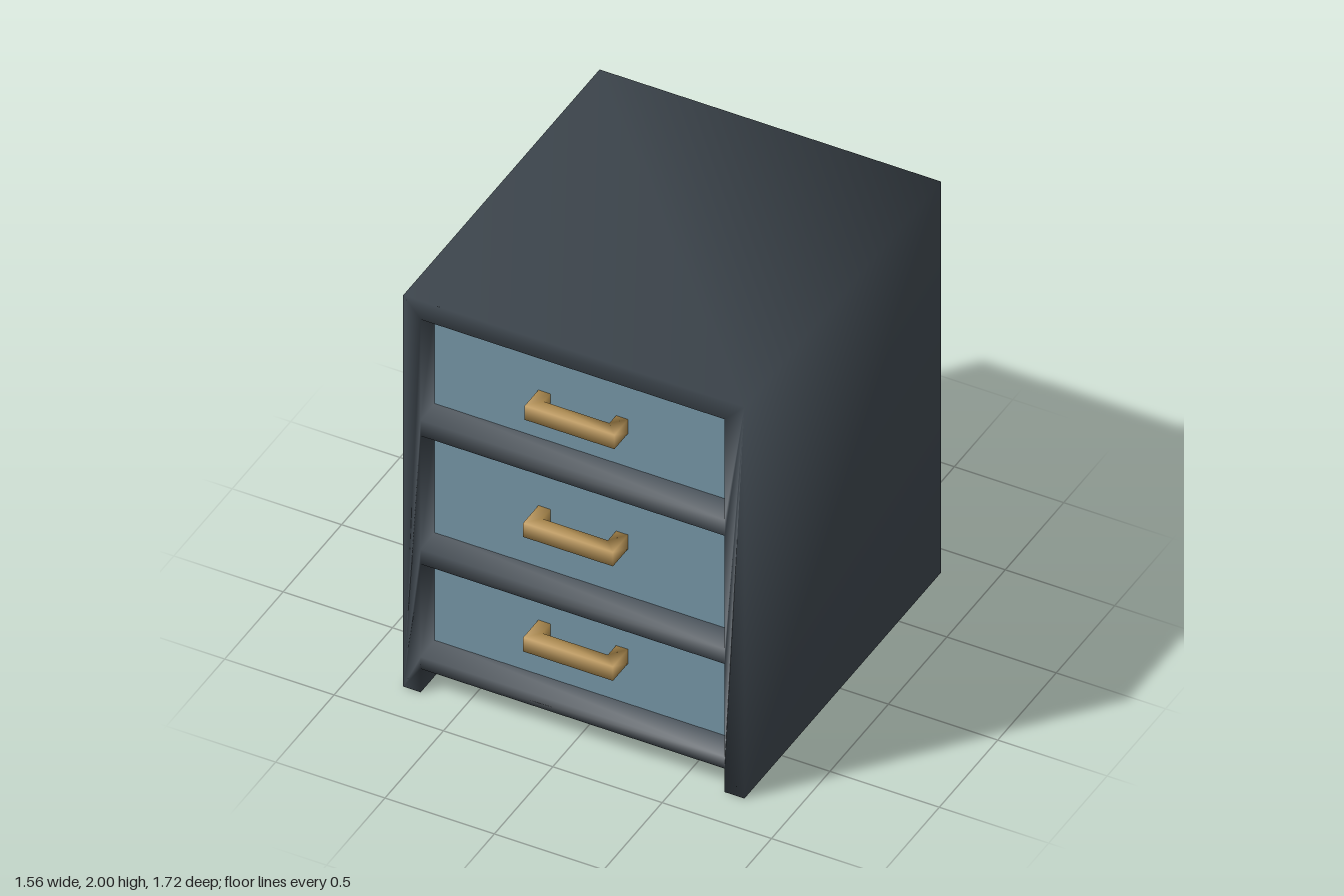
import * as THREE from 'three';
import { mergeGeometries, mergeVertices } from 'three/addons/utils/BufferGeometryUtils.js';

const FRONT = 0.82, BACK = -0.86, PANEL = 0.73;

// opening: edge of the recess in the frame; panel: drawer face at its bottom
const drawers = [
  { name: 'bottomDrawer', opening: [0.18, 0.655], panel: [0.21, 0.63], handleY: 0.452, handleZ: 0.86 },
  { name: 'middleDrawer', opening: [0.73, 1.31], panel: [0.76, 1.285], handleY: 1.037, handleZ: 0.86 },
  { name: 'topDrawer', opening: [1.39, 1.905], panel: [1.42, 1.89], handleY: 1.627, handleZ: 0.847 },
];

const points = (list) => list.map(([x, y]) => new THREE.Vector2(x, y));

// Clockwise rectangle, so walls built from it face inwards
const rect = (x0, x1, [y0, y1]) => points([[x0, y0], [x0, y1], [x1, y1], [x1, y0]]);

// Band of quads from a front loop to a matching loop further back
function walls(front, zFront, back, zBack) {
  const n = front.length;
  const pos = [], index = [];
  front.forEach((p) => pos.push(p.x, p.y, zFront));
  back.forEach((p) => pos.push(p.x, p.y, zBack));
  for (let i = 0; i < n; i++) {
    const j = (i + 1) % n;
    index.push(i, n + i, n + j, i, n + j, j);
  }
  const g = new THREE.BufferGeometry();
  g.setAttribute('position', new THREE.Float32BufferAttribute(pos, 3));
  g.setIndex(index);
  return g;
}

// Flat face of a shape at depth z
function face(shape, z, flip) {
  const g = new THREE.ShapeGeometry(shape).translate(0, 0, z);
  if (flip) g.setIndex(Array.from(g.index.array).reverse());
  return g;
}

// Share vertices so shading is smooth over the edges
function smooth(g) {
  g.deleteAttribute('uv');
  g.deleteAttribute('normal');
  const out = mergeVertices(g, 1e-4);
  out.computeVertexNormals();
  return out;
}

function bodyGeometry() {
  // Cabinet outline with a runner foot along each side
  const outline = points([[-0.78, 0], [-0.7, 0], [-0.7, 0.12], [0.69, 0.12],
    [0.69, 0], [0.78, 0], [0.78, 2], [-0.78, 2]]);
  const frame = new THREE.Shape(outline);
  const parts = [walls(outline, FRONT, outline, BACK), face(new THREE.Shape(outline), BACK, true)];
  // Tapered drawer recesses
  for (const d of drawers) {
    const hole = rect(-0.7, 0.69, d.opening);
    frame.holes.push(new THREE.Path(hole));
    parts.push(walls(hole, FRONT, rect(-0.685, 0.67, d.panel), PANEL));
  }
  parts.push(face(frame, FRONT, false));
  parts.forEach((g) => {
    g.deleteAttribute('uv');
    g.deleteAttribute('normal');
  });
  return smooth(mergeGeometries(parts));
}

// Bracket-shaped pull: plan outline (x, z) extruded upwards
function handleGeometry(zOut) {
  const reach = zOut - PANEL, height = 0.072;
  const plan = new THREE.Shape(points([[-0.205, 0], [-0.15, 0], [-0.15, reach - 0.06],
    [0.15, reach - 0.06], [0.15, 0], [0.205, 0], [0.205, reach], [-0.205, reach]]));
  const g = new THREE.ExtrudeGeometry(plan, { depth: height, bevelEnabled: false });
  g.rotateX(Math.PI / 2).translate(-0.005, height / 2, 0);
  return smooth(g);
}

export function createModel() {
  const group = new THREE.Group();
  const bodyMat = new THREE.MeshStandardMaterial({ color: 0x434c54 });
  const panelMat = new THREE.MeshStandardMaterial({ color: 0x7697a8 });
  const handleMat = new THREE.MeshStandardMaterial({ color: 0xbd9755 });

  const add = (parent, name, geometry, material) => {
    const mesh = new THREE.Mesh(geometry, material);
    mesh.name = name;
    parent.add(mesh);
    return mesh;
  };

  add(group, 'cabinetBody', bodyGeometry(), bodyMat);

  for (const d of drawers) {
    const drawer = new THREE.Group();
    drawer.name = d.name;
    const [y0, y1] = d.panel;
    // Drawer face
    const panel = add(drawer, 'drawerFront', new THREE.BoxGeometry(1.355, y1 - y0, 0.02), panelMat);
    panel.position.set(-0.0075, (y0 + y1) / 2, PANEL - 0.01);
    // Pull handle
    add(drawer, 'handle', handleGeometry(d.handleZ), handleMat).position.set(0, d.handleY, PANEL);
    group.add(drawer);
  }
  return group;
}
